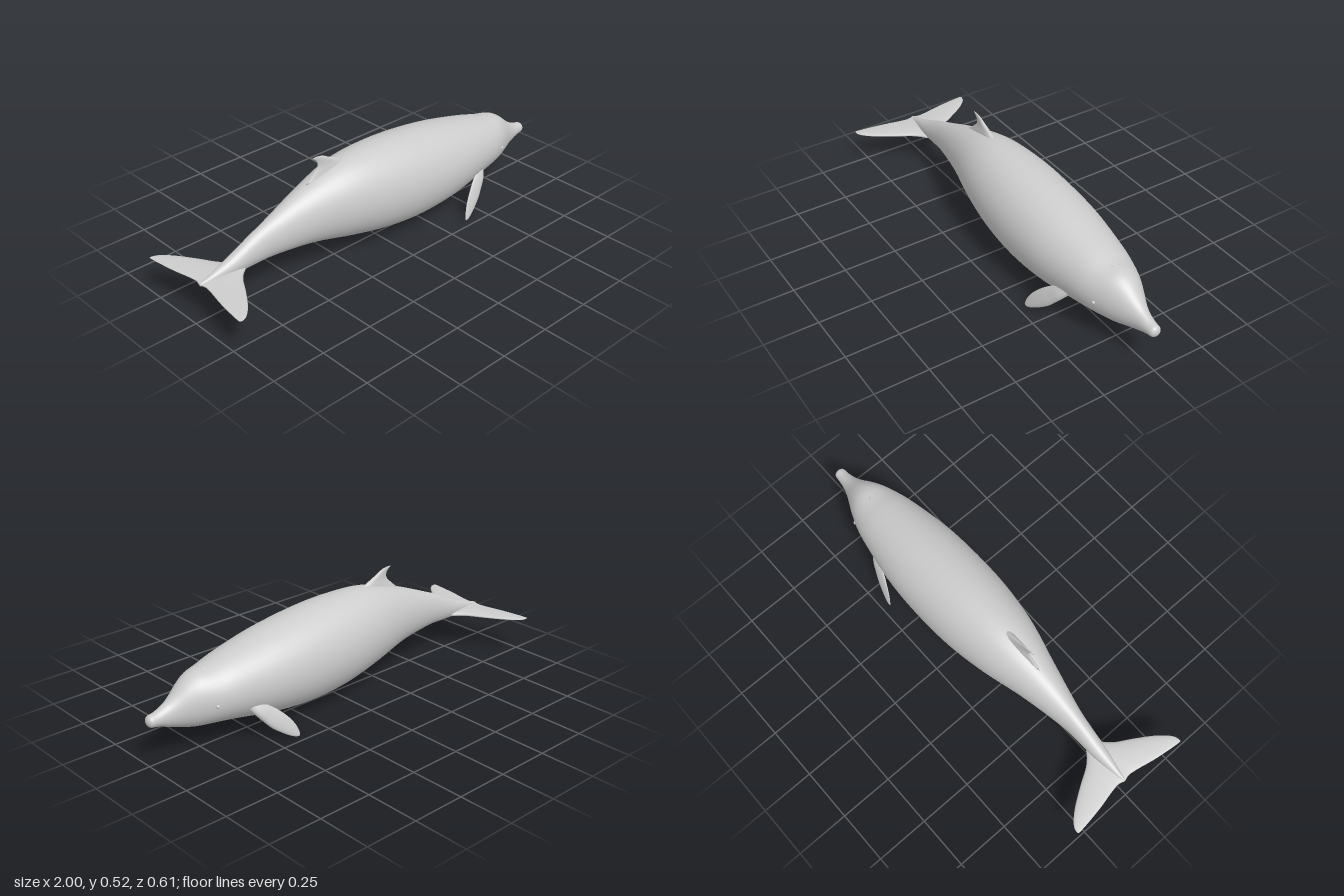
import * as THREE from 'three';

const V = (x, y, z) => new THREE.Vector3(x, y, z);

// Skin a row of closed rings, cap both ends, and face everything outward
function loft(rings) {
  const n = rings[0].length, pts = rings.flat(), idx = [];
  for (let i = 0; i < rings.length - 1; i++)
    for (let j = 0; j < n; j++) {
      const a = i * n + j, b = i * n + (j + 1) % n;
      idx.push(a, b, a + n, b, b + n, a + n);
    }
  [0, rings.length - 1].forEach((r, end) => {
    const c = rings[r].reduce((s, p) => s.add(p), V(0, 0, 0)).divideScalar(n);
    const k = pts.push(c) - 1;
    for (let j = 0; j < n; j++) {
      const a = r * n + j, b = r * n + (j + 1) % n;
      if (end) idx.push(a, b, k); else idx.push(b, a, k);
    }
  });
  let volume = 0;
  for (let i = 0; i < idx.length; i += 3)
    volume += pts[idx[i]].dot(pts[idx[i + 1]].clone().cross(pts[idx[i + 2]]));
  if (volume < 0) idx.reverse();
  const g = new THREE.BufferGeometry().setFromPoints(pts);
  g.setIndex(idx);
  g.computeVertexNormals();
  return g;
}

// Smooth a table of stations; the first column is the position along the part
function smooth(rows, steps) {
  const curves = rows[0].map((_, c) => new THREE.SplineCurve(rows.map((r) => new THREE.Vector2(r[0], r[c]))));
  return Array.from({ length: steps + 1 }, (_, i) => curves.map((k) => k.getPoint(i / steps).y));
}

// Fin section: rounded leading edge (a), fine trailing edge (b), thickness along t
function finRing(a, b, t, half, n = 20) {
  return Array.from({ length: n }, (_, i) => {
    const u = (i / n) * Math.PI * 2, s = (1 - Math.cos(u)) / 2;
    return a.clone().lerp(b, s).addScaledVector(t, half * Math.sin(u) * (1.25 - 0.7 * s));
  });
}

export function createModel() {
  const whale = new THREE.Group();
  whale.name = 'whale';
  const skin = new THREE.MeshStandardMaterial({ color: 0xcccccc });
  skin.name = 'pale grey skin';
  const add = (name, geometry) => {
    const m = new THREE.Mesh(geometry, skin);
    m.name = name;
    whale.add(m);
    return m;
  };

  // Body with melon and beak: x, top, bottom, half width
  const body = [
    [-0.965, 0.18, 0.168, 0.006], [-0.9, 0.2, 0.16, 0.018], [-0.8, 0.24, 0.153, 0.034],
    [-0.7, 0.288, 0.154, 0.042], [-0.6, 0.33, 0.155, 0.055], [-0.4, 0.41, 0.135, 0.1],
    [-0.2, 0.465, 0.09, 0.152], [0, 0.474, 0.052, 0.183], [0.2, 0.461, 0.038, 0.191],
    [0.4, 0.432, 0.054, 0.182], [0.6, 0.389, 0.09, 0.15], [0.7, 0.362, 0.104, 0.126],
    [0.77, 0.349, 0.11, 0.099], [0.82, 0.322, 0.121, 0.075], [0.87, 0.28, 0.138, 0.051],
    [0.91, 0.252, 0.152, 0.037], [0.955, 0.232, 0.168, 0.029], [0.985, 0.226, 0.174, 0.026],
    [0.996, 0.216, 0.184, 0.017], [1, 0.204, 0.196, 0.004],
  ];
  add('body', loft(smooth(body, 90).map(([x, top, bottom, w]) =>
    Array.from({ length: 40 }, (_, i) => {
      const u = (i / 40) * Math.PI * 2;
      return V(x, (top + bottom) / 2 + Math.cos(u) * (top - bottom) / 2, Math.sin(u) * w);
    }))));

  // Tail flukes: distance from midline, leading x, trailing x, half thickness
  const fluke = [
    [0, -0.74, -0.968, 0.014], [0.03, -0.755, -0.96, 0.014], [0.055, -0.785, -0.962, 0.013],
    [0.09, -0.815, -0.968, 0.011], [0.155, -0.853, -0.982, 0.009], [0.235, -0.905, -0.994, 0.007],
    [0.28, -0.943, -0.999, 0.005], [0.3, -0.968, -1, 0.003], [0.306, -0.985, -0.998, 0.001],
  ];
  for (const side of [1, -1])
    add(side > 0 ? 'leftFluke' : 'rightFluke', loft(smooth(fluke, 32).map(([d, lead, trail, half]) =>
      finRing(V(lead, 0.173, side * d), V(trail, 0.175, side * d), V(0, 1, 0), half))));

  // Dorsal fin: height, leading x, trailing x, half thickness
  const dorsal = [
    [0.41, -0.13, -0.4, 0.026], [0.455, -0.175, -0.348, 0.017], [0.475, -0.212, -0.332, 0.012],
    [0.497, -0.262, -0.333, 0.008], [0.513, -0.293, -0.347, 0.005], [0.52, -0.312, -0.358, 0.003],
    [0.523, -0.332, -0.354, 0.001],
  ];
  add('dorsalFin', loft(smooth(dorsal, 24).map(([y, lead, trail, half]) =>
    finRing(V(lead, y, 0), V(trail, y, 0), V(0, 0, 1), half))));

  // Flippers: centre y, centre x, z, half chord, half thickness
  const flipper = [
    [0.19, 0.57, 0.115, 0.03, 0.018], [0.15, 0.535, 0.145, 0.033, 0.017], [0.12, 0.503, 0.161, 0.038, 0.015],
    [0.09, 0.472, 0.176, 0.04, 0.013], [0.055, 0.434, 0.192, 0.034, 0.01], [0.028, 0.408, 0.203, 0.024, 0.007],
    [0.01, 0.391, 0.21, 0.012, 0.004], [0.003, 0.384, 0.212, 0.003, 0.001],
  ];
  for (const side of [1, -1])
    add(side > 0 ? 'leftFlipper' : 'rightFlipper', loft(smooth(flipper, 28).map(([y, x, z, chord, half]) => {
      const c = V(x, y, side * z), along = V(0.72, -0.69, 0).multiplyScalar(chord);
      return finRing(c.clone().add(along), c.clone().sub(along), V(0.25, 0.25, side * 0.93), half);
    })));

  // Crescent lip of the blowhole, lying on the forehead
  const lip = new THREE.TorusGeometry(0.018, 0.004, 8, 20, Math.PI);
  lip.rotateZ(-Math.PI / 2).rotateX(-Math.PI / 2).rotateZ(-0.22);
  add('blowhole', lip).position.set(0.715, 0.356, 0);

  // Small eyes set in the sides of the head
  for (const side of [1, -1]) {
    const eye = add(side > 0 ? 'leftEye' : 'rightEye', new THREE.SphereGeometry(0.009, 14, 10));
    eye.position.set(0.73, 0.22, side * 0.112);
  }
  // Stand on y = 0
  whale.updateMatrixWorld(true);
  whale.position.y = -new THREE.Box3().setFromObject(whale).min.y;
  return whale;
}
